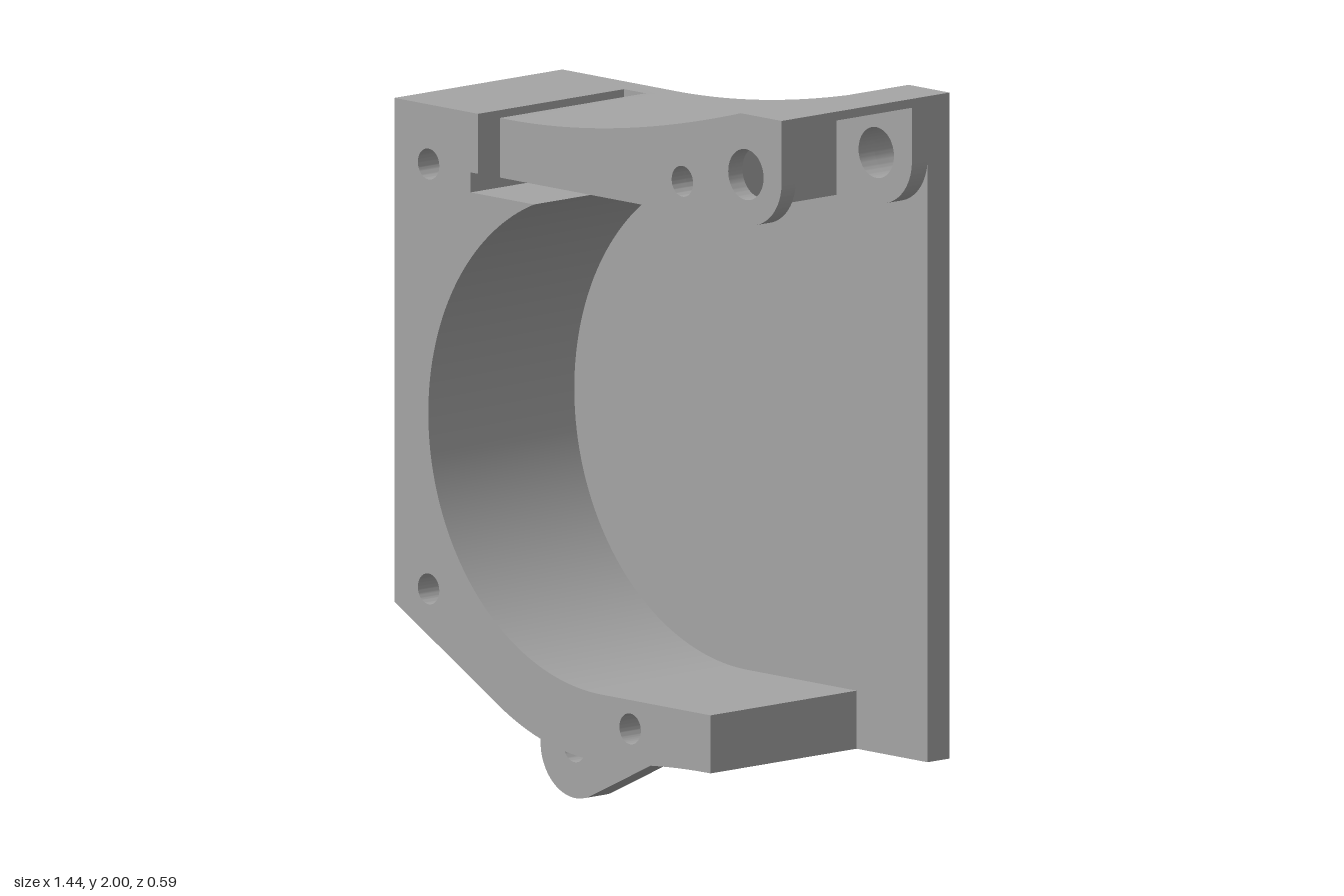
import * as THREE from 'three';
import { toCreasedNormals } from 'three/addons/utils/BufferGeometryUtils.js';

const BACK = -0.295, PLATE = -0.218, FRONT = 0.295;
const POCKET_BACK = -0.163, POCKET_FRONT = 0.245;
const SIDE = 0.722, TOP_LEFT = 1.868, BOTTOM_RIGHT = 0.268;
const material = new THREE.MeshStandardMaterial({ color: 0xa5a5a5 });

// Extrude an outline between two depths, with round holes given as [x, y, radius]
function slab(name, shape, z0, z1, holes) {
  for (const [x, y, r] of holes) {
    shape.holes.push(new THREE.Path().absarc(x, y, r, 0, Math.PI * 2, true));
  }
  const geometry = new THREE.ExtrudeGeometry(shape, {
    depth: z1 - z0, bevelEnabled: false, curveSegments: 40,
  });
  geometry.translate(0, 0, z0);
  const mesh = new THREE.Mesh(toCreasedNormals(geometry, 0.35), material);
  mesh.name = name;
  return mesh;
}

// Sweeping top edge, drawn from the high right corner to the flat on the left
function topEdge(shape) {
  shape.lineTo(SIDE, 2);
  shape.lineTo(0.57, 2);
  shape.quadraticCurveTo(0.1, TOP_LEFT, -0.3, TOP_LEFT);
}

// Back plate with a rounded ear at the lower corner
function plateShape() {
  const s = new THREE.Shape();
  s.moveTo(SIDE, BOTTOM_RIGHT);
  topEdge(s);
  s.lineTo(-SIDE, TOP_LEFT);
  s.lineTo(-SIDE, 0.13);
  s.absarc(0.13 - SIDE, 0.13, 0.13, Math.PI, Math.PI * 1.637, false);
  s.lineTo(-0.3, 0.127);
  s.bezierCurveTo(-0.1, 0.213, 0.15, BOTTOM_RIGHT, 0.45, BOTTOM_RIGHT);
  return s;
}

// Side block and lower lip around the round opening
function bodyShape() {
  const s = new THREE.Shape();
  s.moveTo(-SIDE, TOP_LEFT);
  s.lineTo(-SIDE, 0.558);
  s.lineTo(-0.34, 0.343);
  s.bezierCurveTo(-0.22, 0.276, -0.1, 0.243, 0.05, 0.243);
  s.bezierCurveTo(0.15, 0.246, 0.25, BOTTOM_RIGHT, 0.457, BOTTOM_RIGHT);
  s.lineTo(0.457, 0.419);
  s.lineTo(0.05, 0.419);
  s.absarc(0.05, 1.065, 0.646, -Math.PI / 2, -Math.PI - 1.171, true);
  s.lineTo(-0.438, 1.66);
  s.lineTo(-0.438, 1.712);
  s.lineTo(-0.41, 1.712);
  s.lineTo(-0.41, TOP_LEFT);
  return s;
}

// Full side profile of the upper arm, with its rounded end
function armShape() {
  const s = new THREE.Shape();
  s.moveTo(-0.329, 1.713);
  s.lineTo(SIDE - 0.125, 1.713);
  s.absarc(SIDE - 0.125, 1.838, 0.125, -Math.PI / 2, 0, false);
  topEdge(s);
  s.lineTo(-0.329, TOP_LEFT);
  return s;
}

// Middle of the arm: solid root and a thin roof over the pocket
function armCoreShape() {
  const s = new THREE.Shape();
  s.moveTo(-0.329, 1.713);
  s.lineTo(0.44, 1.713);
  s.lineTo(0.44, 1.945);
  s.lineTo(0.57, 1.977);
  s.lineTo(SIDE, 1.977);
  topEdge(s);
  s.lineTo(-0.329, TOP_LEFT);
  return s;
}

export function createModel() {
  const group = new THREE.Group();
  group.name = 'housingBracket';
  const pin = [0.589, 1.843, 0.066];
  const screw = [0.352, 1.794, 0.04];

  group.add(
    slab('backPlate', plateShape(), BACK, PLATE, [pin, [-0.595, 0.133, 0.04]]),
    slab('housingBody', bodyShape(), PLATE, FRONT,
      [[-0.595, 1.713, 0.04], [-0.595, 0.608, 0.04], [0.157, 0.344, 0.04]]),
    slab('armBackLug', armShape(), PLATE, POCKET_BACK, [pin, screw]),
    slab('armCore', armCoreShape(), POCKET_BACK, POCKET_FRONT, [screw]),
    slab('armFrontLug', armShape(), POCKET_FRONT, FRONT, [pin, screw]),
  );
  return group;
}
